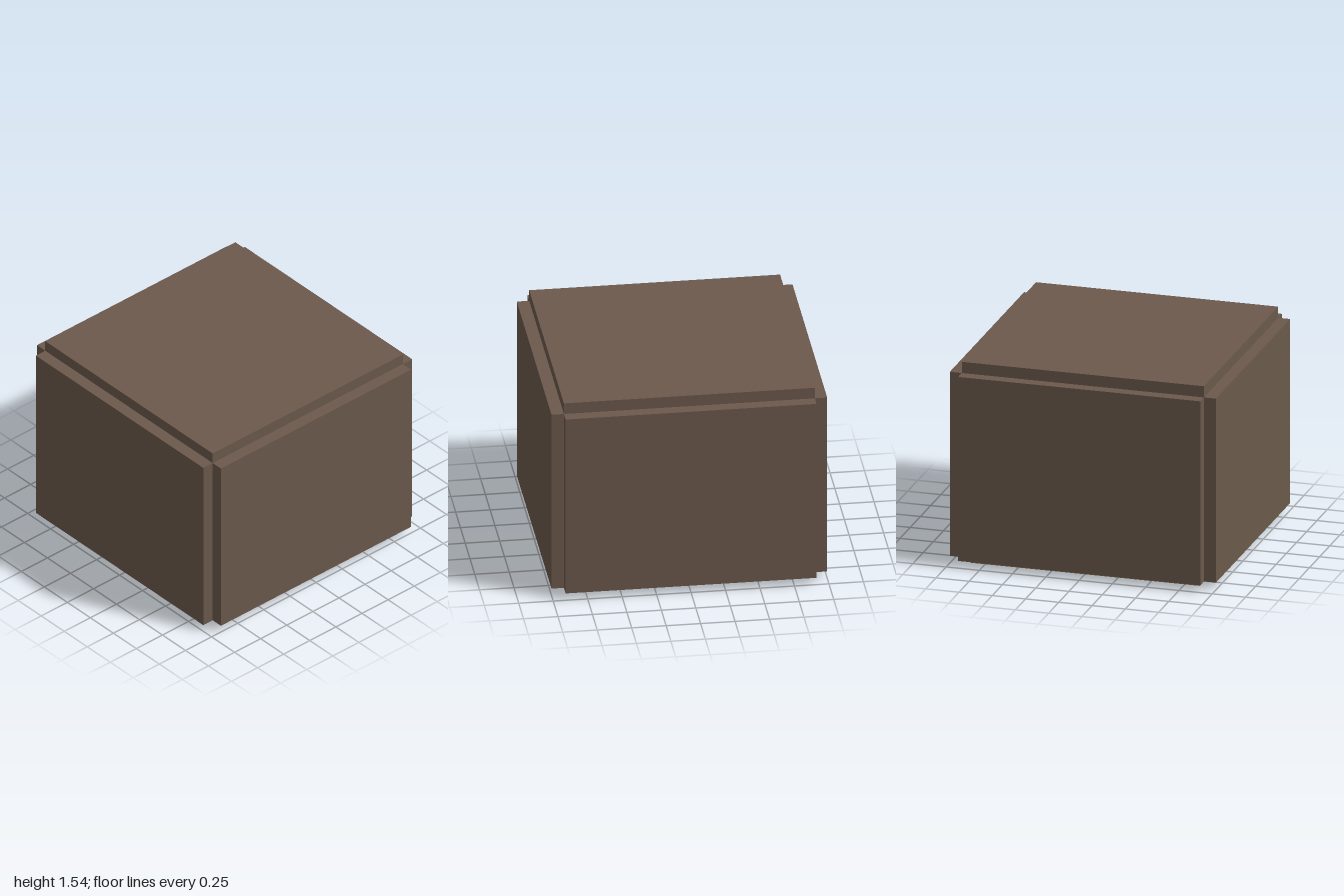
import * as THREE from 'three';

const INNER = 0.91, OUTER = 1, BASE = 0.86;
const FLOOR = 0.055, SHOULDER = 1.455, TOP = 1.54;

export function createModel() {
  const group = new THREE.Group();
  group.name = 'panelledBox';
  const dark = new THREE.MeshStandardMaterial({ color: 0x6b594b });
  const light = new THREE.MeshStandardMaterial({ color: 0x8b7157 });

  const add = (name, geometry, material, y) => {
    const mesh = new THREE.Mesh(geometry, material);
    mesh.name = name;
    mesh.position.y = y;
    group.add(mesh);
  };

  // Body: four raised side panels leaving a notch at each upright corner
  const points = [];
  for (let i = 0; i < 4; i++) {
    const corner = [[OUTER, -INNER], [OUTER, INNER], [INNER, INNER]];
    for (const [x, y] of corner) {
      points.push(new THREE.Vector2(x, y).rotateAround(new THREE.Vector2(), i * Math.PI / 2));
    }
  }
  const body = new THREE.ExtrudeGeometry(new THREE.Shape(points), {
    depth: SHOULDER - FLOOR, bevelEnabled: false,
  });
  body.rotateX(-Math.PI / 2);
  add('sidePanels', body, dark, FLOOR);

  // Raised top panel
  add('topPanel', new THREE.BoxGeometry(2 * INNER, TOP - SHOULDER, 2 * INNER), dark, (TOP + SHOULDER) / 2);

  // Lighter inset base
  add('base', new THREE.BoxGeometry(2 * BASE, FLOOR, 2 * BASE), light, FLOOR / 2);

  return group;
}
